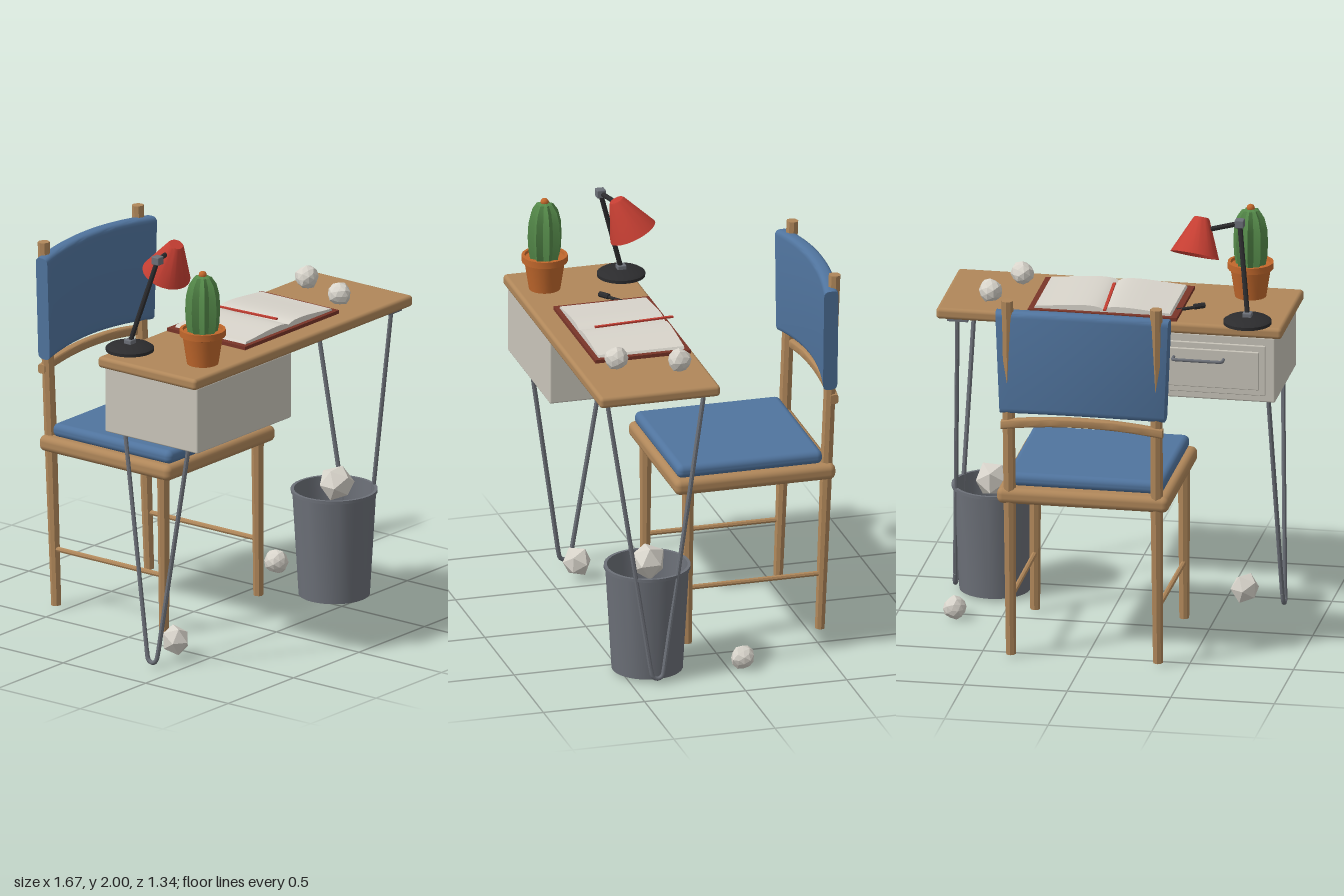
import * as THREE from 'three';
import { toCreasedNormals } from 'three/addons/utils/BufferGeometryUtils.js';
import { RoundedBoxGeometry } from 'three/addons/geometries/RoundedBoxGeometry.js';

const mat = (name, color) => Object.assign(new THREE.MeshStandardMaterial({ color }), { name });
const M = {
  wood: mat('wood', 0xb0875a), blue: mat('blue fabric', 0x50749e), cabinet: mat('cabinet grey', 0xc9c5ba),
  paper: mat('paper', 0xd8d4cb), steel: mat('steel', 0x6c7078), black: mat('black', 0x2c2c2e),
  red: mat('lamp red', 0xc43e32), cover: mat('cover', 0x7a3528), clay: mat('terracotta', 0xc2682c),
  green: mat('cactus green', 0x558a4a),
};
const V = (x, y, z) => new THREE.Vector3(x, y, z);
const P = (x, y) => new THREE.Vector2(x, y);
const UP = V(0, 1, 0);

export function createModel() {
  const root = new THREE.Group();
  root.name = 'deskAndChair';

  const add = (parent, name, geo, material, x = 0, y = 0, z = 0) => {
    const m = new THREE.Mesh(geo, material);
    m.name = name;
    m.position.set(x, y, z);
    parent.add(m);
    return m;
  };
  const group = (name) => {
    const g = new THREE.Group();
    g.name = name;
    root.add(g);
    return g;
  };
  // Box given by its lower and upper corners, rounded when r > 0
  const block = (parent, name, material, a, b, r = 0) => {
    const s = [b[0] - a[0], b[1] - a[1], b[2] - a[2]];
    const geo = r ? new RoundedBoxGeometry(...s, 3, r) : new THREE.BoxGeometry(...s);
    return add(parent, name, geo, material, (a[0] + b[0]) / 2, (a[1] + b[1]) / 2, (a[2] + b[2]) / 2);
  };
  // Tapered rod between two points
  const rod = (parent, name, material, a, b, ra, rb = ra, sides = 8) => {
    const d = b.clone().sub(a);
    const m = add(parent, name, toCreasedNormals(new THREE.CylinderGeometry(rb, ra, d.length(), sides), 0.6), material);
    m.position.copy(a).addScaledVector(d, 0.5);
    m.quaternion.setFromUnitVectors(UP, d.normalize());
    return m;
  };
  const lathe = (points, sides) => toCreasedNormals(new THREE.LatheGeometry(points.map((p) => P(...p)), sides), 0.6);

  // Desk top
  const desk = group('desk');
  block(desk, 'deskTop', M.wood, [-0.835, 1.455, 0.075], [0.835, 1.51, 0.67], 0.018);

  // Hairpin legs
  for (const s of [-1, 1]) {
    const bend = [];
    for (const e of [-1, 1]) {
      const low = V(s * 0.79, 0.09, 0.375 + e * 0.035);
      rod(desk, 'hairpinRod', M.steel, V(s * 0.74, 1.45, 0.37 + e * 0.24), low, 0.011);
      bend.push(low);
    }
    const mid = [V(s * 0.793, 0.042, 0.353), V(s * 0.794, 0.031, 0.375), V(s * 0.793, 0.042, 0.397)];
    const curve = new THREE.CatmullRomCurve3([bend[0], ...mid, bend[1]]);
    add(desk, 'hairpinBend', new THREE.TubeGeometry(curve, 14, 0.011, 8), M.steel);
    block(desk, 'legPlate', M.steel, [s * 0.735 - 0.05, 1.44, 0.1], [s * 0.735 + 0.05, 1.456, 0.64]);
  }

  // Drawer cabinet, opening toward the chair
  block(desk, 'drawerCabinet', M.cabinet, [-0.8, 1.13, 0.095], [-0.08, 1.456, 0.655], 0.008);
  block(desk, 'drawerFront', M.cabinet, [-0.755, 1.165, 0.085], [-0.125, 1.415, 0.1], 0.004);
  block(desk, 'drawerPanel', M.cabinet, [-0.725, 1.195, 0.075], [-0.155, 1.385, 0.09], 0.004);
  const grip = new THREE.CatmullRomCurve3(
    [V(-0.555, 1.34, 0.08), V(-0.555, 1.34, 0.045), V(-0.54, 1.34, 0.033), V(-0.33, 1.34, 0.033), V(-0.315, 1.34, 0.045), V(-0.315, 1.34, 0.08)],
    false, 'catmullrom', 0.2);
  add(desk, 'drawerHandle', new THREE.TubeGeometry(grip, 40, 0.008, 8), M.steel);

  // Chair seat, legs and stretchers
  const chair = group('chair');
  block(chair, 'seat', M.wood, [-0.415, 0.79, -0.62], [0.415, 0.868, 0.175], 0.03);
  block(chair, 'seatCushion', M.blue, [-0.38, 0.862, -0.565], [0.38, 0.93, 0.155], 0.03);
  for (const s of [-1, 1]) {
    rod(chair, 'frontLeg', M.wood, V(s * 0.36, 0.02, 0.105), V(s * 0.36, 0.81, 0.1), 0.024, 0.03);
    rod(chair, 'rearLeg', M.wood, V(s * 0.355, 0.02, -0.553), V(s * 0.355, 0.83, -0.585), 0.024, 0.03);
    rod(chair, 'backPost', M.wood, V(s * 0.355, 0.83, -0.585), V(s * 0.36, 1.82, -0.625), 0.03, 0.029);
    rod(chair, 'stretcher', M.wood, V(s * 0.357, 0.3, -0.56), V(s * 0.36, 0.3, 0.1), 0.013);
  }

  // Curved back parts: a rounded section swept across x, then bent by rule(vertex)
  const curvedBar = (name, material, halfWidth, h, t, r, rule) => {
    const s = new THREE.Shape();
    const x = t / 2, y = h / 2;
    s.moveTo(-x + r, -y).lineTo(x - r, -y).quadraticCurveTo(x, -y, x, -y + r).lineTo(x, y - r);
    s.quadraticCurveTo(x, y, x - r, y).lineTo(-x + r, y).quadraticCurveTo(-x, y, -x, y - r);
    s.lineTo(-x, -y + r).quadraticCurveTo(-x, -y, -x + r, -y);
    const geo = new THREE.ExtrudeGeometry(s, { depth: 2 * halfWidth, steps: 16, bevelEnabled: false, curveSegments: 4 });
    geo.translate(0, 0, -halfWidth).rotateY(Math.PI / 2);
    const p = geo.attributes.position;
    for (let i = 0; i < p.count; i++) {
      const v = V(0, 0, 0).fromBufferAttribute(p, i);
      rule(v, (v.x / halfWidth) ** 2);
      p.setXYZ(i, v.x, v.y, v.z);
    }
    add(chair, name, toCreasedNormals(geo, 0.7), material);
  };
  curvedBar('backCushion', M.blue, 0.405, 0.51, 0.072, 0.028, (v, k) => {
    v.z += -0.638 + 0.046 * k;
    v.x *= 1 + 0.1 * v.y + v.z * 0.12 + 0.08;
    v.y += 1.523 - 0.02 * k;
  });
  curvedBar('backRail', M.wood, 0.39, 0.045, 0.04, 0.012, (v, k) => {
    v.z += -0.63 + 0.015 * k;
    v.y += 1.228 - 0.035 * k;
  });

  // Waste basket
  const basket = lathe([[0, 0.02], [0.17, 0.02], [0.2, 0.53], [0.207, 0.53], [0.207, 0.545], [0.192, 0.545], [0.163, 0.035], [0, 0.035]], 32);
  add(root, 'wasteBasket', basket, M.steel, 0.603, 0, 0.372);

  // Crumpled paper balls: x, y, z, radius, detail
  const balls = [[0.615, 0.565, 0.375, 0.088, 0], [-0.605, 0.095, 0.37, 0.073, 0], [0.715, 0.062, -0.068, 0.057, 1],
    [0.595, 1.568, 0.212, 0.056, 1], [0.493, 1.568, 0.492, 0.055, 1]];
  balls.forEach(([x, y, z, r, detail], n) => {
    const geo = new THREE.IcosahedronGeometry(r, detail);
    const p = geo.attributes.position;
    for (let i = 0; i < p.count; i++) {
      const v = V(0, 0, 0).fromBufferAttribute(p, i);
      const u = v.clone().divideScalar(r);
      v.multiplyScalar(1 + 0.07 * Math.sin(7 * u.x + 11 * u.y + 5 * u.z + n));
      p.setXYZ(i, v.x, v.y, v.z);
    }
    geo.computeVertexNormals();
    add(root, 'paperBall', geo, M.paper, x, y, z).rotation.y = n;
  });

  // Potted cactus with alternating ribs
  const plant = group('pottedCactus');
  plant.position.set(-0.602, 0, 0.53);
  add(plant, 'pot', lathe([[0, 1.51], [0.075, 1.51], [0.096, 1.645], [0.11, 1.65], [0.11, 1.682], [0.096, 1.682], [0.094, 1.668], [0, 1.668]], 20), M.clay);
  const ribs = [[0.07, 1.66], [0.08, 1.71], [0.084, 1.78], [0.08, 1.85], [0.066, 1.905], [0.042, 1.94], [0, 1.952]];
  const cactus = new THREE.LatheGeometry(ribs.map((p) => P(...p)), 16);
  const cp = cactus.attributes.position;
  for (let i = 0; i < cp.count; i++) {
    const k = Math.floor(i / ribs.length) % 2 ? 0.76 : 1;
    cp.setX(i, cp.getX(i) * k);
    cp.setZ(i, cp.getZ(i) * k);
  }
  add(plant, 'cactus', toCreasedNormals(cactus, 0.4), M.green);
  add(plant, 'flower', new THREE.SphereGeometry(0.02, 10, 8), M.clay, 0, 1.95, 0);

  // Desk lamp
  const lamp = group('lamp');
  const foot = V(-0.66, 1.545, 0.135), elbow = V(-0.6, 1.967, 0.255), head = V(-0.44, 1.945, 0.185);
  add(lamp, 'lampBase', lathe([[0, 1.51], [0.115, 1.51], [0.115, 1.525], [0.1, 1.535], [0.03, 1.545], [0, 1.545]], 28), M.black, foot.x, 0, foot.z);
  rod(lamp, 'lampPost', M.black, foot, elbow, 0.012);
  rod(lamp, 'lampArm', M.black, elbow, head, 0.012);
  for (const p of [foot, elbow]) block(lamp, 'lampJoint', M.steel, [p.x - 0.022, p.y - 0.02, p.z - 0.022], [p.x + 0.022, p.y + 0.02, p.z + 0.022], 0.005);
  const shade = add(lamp, 'lampShade', lathe([[0.112, 0.004], [0.118, 0], [0.04, 0.175], [0.034, 0.183], [0, 0.183], [0, 0.172], [0.032, 0.17], [0.112, 0.004]], 24), M.red, -0.402, 1.83, 0.152);
  shade.quaternion.setFromUnitVectors(UP, V(-0.02, 0.165, 0.075).normalize());

  // Open book with arched pages and a ribbon
  const book = group('openBook');
  block(book, 'bookCover', M.cover, [-0.325, 1.51, 0.095], [0.395, 1.527, 0.567]);
  const pages = new THREE.Shape();
  pages.moveTo(-0.295, 1.526).lineTo(0.37, 1.526).lineTo(0.362, 1.538);
  pages.bezierCurveTo(0.25, 1.545, 0.09, 1.572, 0.037, 1.542);
  pages.bezierCurveTo(-0.015, 1.572, -0.17, 1.545, -0.287, 1.538);
  const pageGeo = new THREE.ExtrudeGeometry(pages, { depth: 0.425, bevelEnabled: false, curveSegments: 10 });
  add(book, 'pages', toCreasedNormals(pageGeo, 0.5), M.paper, 0, 0, 0.12);
  const ribbon = block(book, 'ribbon', M.red, [0.025, 1.548, 0.075], [0.039, 1.556, 0.468]);
  ribbon.rotation.y = 0.065;

  // Pen
  const pen = group('pen');
  rod(pen, 'penBody', M.black, V(-0.385, 1.522, 0.285), V(-0.3, 1.522, 0.225), 0.008);
  rod(pen, 'penCap', M.black, V(-0.42, 1.525, 0.31), V(-0.375, 1.525, 0.278), 0.014);

  return root;
}
